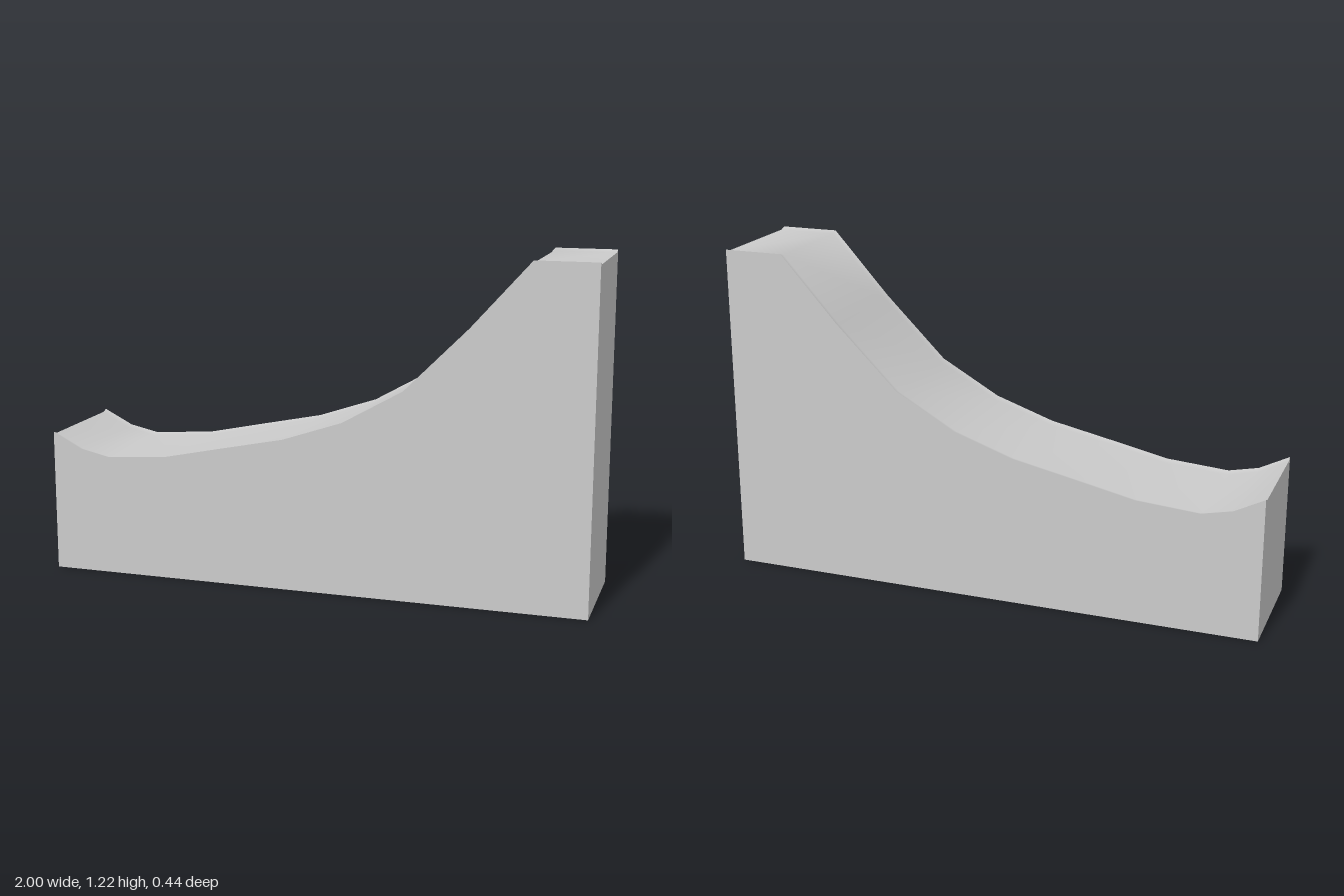
import * as THREE from 'three';

// Ramp outline along x: [x, rim height]
const PROFILE = [
  [-1, 0.523], [-0.89, 0.467], [-0.78, 0.443], [-0.55, 0.46], [-0.33, 0.507], [-0.1, 0.555],
  [0.12, 0.63], [0.34, 0.755], [0.57, 0.985], [0.78, 1.22], [1, 1.22],
];
// Cross-section of the ramp surface: [z, drop below the rim]
const HALF = 0.222;
const SECTION = [[-HALF, 0], [-0.197, 0.008], [0.197, 0.008], [HALF, 0]];

const material = new THREE.MeshStandardMaterial({ color: 0xcccccc });

function addMesh(group, name, geometry) {
  const mesh = new THREE.Mesh(geometry, material);
  mesh.name = name;
  group.add(mesh);
  return mesh;
}

// Flat wall standing on y = 0 below a row of [u, height] points
function wallGeometry(top) {
  const first = top[0][0], last = top[top.length - 1][0];
  const corners = [[first, 0], [last, 0], ...[...top].reverse()];
  return new THREE.ShapeGeometry(new THREE.Shape(corners.map(([u, y]) => new THREE.Vector2(u, y))));
}

// Smooth slide surface swept through the profile
function slideGeometry() {
  const positions = [], index = [], n = SECTION.length;
  PROFILE.forEach(([x, y], i) => {
    SECTION.forEach(([z, drop], j) => {
      positions.push(x, y - drop, z);
      if (i < PROFILE.length - 1 && j < n - 1) {
        const a = i * n + j, b = a + 1, c = a + n, d = c + 1;
        index.push(a, b, c, b, d, c);
      }
    });
  });
  const geometry = new THREE.BufferGeometry();
  geometry.setAttribute('position', new THREE.Float32BufferAttribute(positions, 3));
  geometry.setIndex(index);
  geometry.computeVertexNormals();
  return geometry;
}

export function createModel() {
  const group = new THREE.Group();
  group.name = 'ramp';

  addMesh(group, 'slideSurface', slideGeometry());

  // Long side walls
  addMesh(group, 'frontWall', wallGeometry(PROFILE)).position.z = HALF;
  const mirrored = PROFILE.map(([x, y]) => [-x, y]).reverse();
  const back = addMesh(group, 'backWall', wallGeometry(mirrored));
  back.rotation.y = Math.PI;
  back.position.z = -HALF;

  // End walls with the shallow channel cut into their top edge
  for (const [name, side, rim] of [['lowEnd', -1, PROFILE[0][1]], ['highEnd', 1, PROFILE.at(-1)[1]]]) {
    const end = addMesh(group, name, wallGeometry(SECTION.map(([z, drop]) => [z, rim - drop])));
    end.rotation.y = side * Math.PI / 2;
    end.position.x = side;
  }

  // Underside
  addMesh(group, 'base', new THREE.PlaneGeometry(2, HALF * 2)).rotation.x = Math.PI / 2;

  return group;
}
